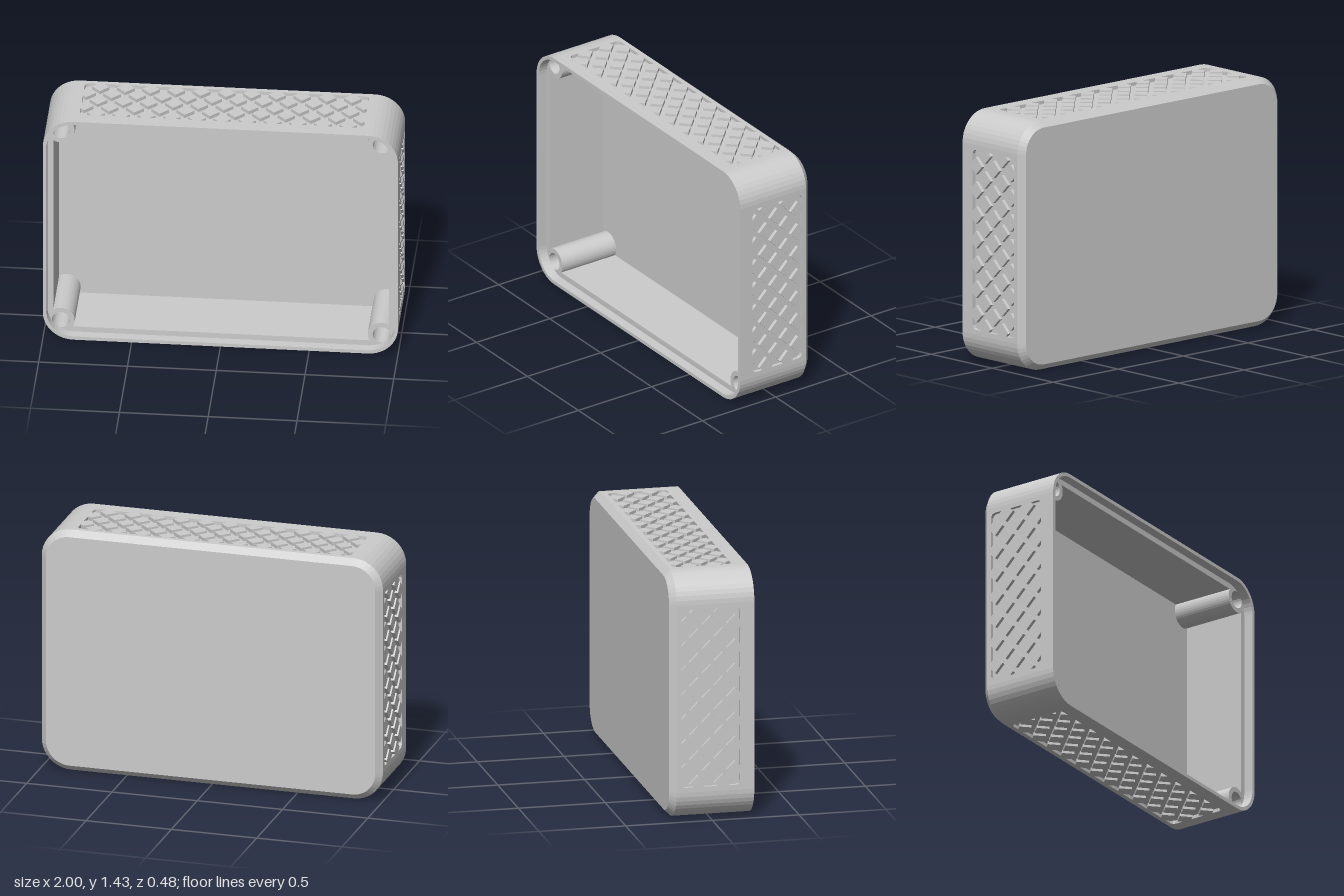
import * as THREE from 'three';

const W = 1, H = 0.715, R = 0.17;          // half width, half height, corner radius
const BACK = -0.242, FRONT = 0.242;
const CHAMFER_Z = -0.207, FLOOR_Z = -0.18, LEDGE_Z = 0.187;
const WALL = 0.054, LIP = 0.021, GROOVE = 0.02;
const BOSS = { x: 0.903, y: 0.621, r: 0.078, hole: 0.05 };
const PITCH = 0.142, DIAMOND = 0.05;       // lattice pitch and half diagonal

const material = new THREE.MeshStandardMaterial({ color: 0xcccccc });

function extrude(shape, z0, z1) {
  const g = new THREE.ExtrudeGeometry(shape, { depth: z1 - z0, bevelEnabled: false, curveSegments: 12 });
  return g.translate(0, 0, z0);
}

function addMesh(parent, name, geometry) {
  const m = new THREE.Mesh(geometry, material);
  m.name = name;
  parent.add(m);
  return m;
}

// Turns a point given for the top edge to side s (top, right, bottom, left)
const turn = (s, t, o) => new THREE.Vector2(...[[t, o], [o, -t], [-t, -o], [-o, t]][s]);

// Rounded outline; notch cuts a shallow bed for the lattice plate into each wall
function outline(inset = 0, notch = 0) {
  const pts = [], r = R - inset;
  for (let s = 0; s < 4; s++) {
    const L = s % 2 ? H : W, D = s % 2 ? W : H, n = L - R - 0.01;
    if (notch) pts.push(turn(s, -n, D), turn(s, -n, D - notch), turn(s, n, D - notch), turn(s, n, D));
    for (let i = 0; i <= 10; i++) {
      const a = (i / 10) * Math.PI / 2;
      pts.push(turn(s, L - R + r * Math.sin(a), D - R + r * Math.cos(a)));
    }
  }
  return new THREE.Shape(pts.reverse());
}

// Cavity: a rectangle whose corners are bitten off by the round screw bosses
function cavity() {
  const pts = [], x = W - WALL, y = H - WALL;
  const a0 = Math.PI - Math.asin((y - BOSS.y) / BOSS.r);
  const a1 = 2 * Math.PI - Math.acos((x - BOSS.x) / BOSS.r);
  for (const [sx, sy] of [[1, 1], [1, -1], [-1, -1], [-1, 1]]) {
    const arc = [];
    for (let i = 0; i <= 16; i++) {
      const a = a0 + (a1 - a0) * i / 16;
      arc.push(new THREE.Vector2(sx * (BOSS.x + BOSS.r * Math.cos(a)), sy * (BOSS.y + BOSS.r * Math.sin(a))));
    }
    pts.push(...(sx * sy > 0 ? arc : arc.reverse()));
  }
  return new THREE.Path(pts);
}

// Wall ring with cavity and four screw holes
function wallRing() {
  const s = outline(0, GROOVE);
  s.holes.push(cavity());
  for (const sx of [-1, 1]) for (const sy of [-1, 1])
    s.holes.push(new THREE.Path().absarc(sx * BOSS.x, sy * BOSS.y, BOSS.hole, 0, Math.PI * 2));
  return s;
}

// Plate with crossing grooves: an opening with notched rim, plus loose diamonds.
// (nx, ny) is the outermost groove crossing in lattice steps.
function latticePlate(plateW, plateH, w, h, nx, ny) {
  const plate = new THREE.Shape([[-1, -1], [1, -1], [1, 1], [-1, 1]]
    .map(([x, y]) => new THREE.Vector2(x * plateW, y * plateH)));
  const rim = [], c = 0.022;
  for (let s = 0; s < 4; s++) {
    const [L, D, na, nd] = s % 2 ? [h, w, ny, nx] : [w, h, nx, ny];
    const row = nd * PITCH, half = DIAMOND - (D - row);
    rim.push(turn(s, -L + c, D));
    // Diamonds cut off by the panel edge
    for (let a = -(na - 0.5); a <= na - 0.5; a++) {
      const t = a * PITCH;
      rim.push(turn(s, t - half, D), turn(s, t - DIAMOND, row), turn(s, t, row - DIAMOND),
        turn(s, t + DIAMOND, row), turn(s, t + half, D));
    }
    rim.push(turn(s, L - c, D), turn(s, L - 0.3 * c, D - 0.3 * c));
  }
  plate.holes.push(new THREE.Path(rim));
  const shapes = [plate];
  for (let k = 0; k <= 4 * nx - 2; k++) for (let l = 1; l < 4 * ny; l++) {
    if ((k + l) % 2) continue;
    const x = (nx - 0.5 - k / 2) * PITCH, y = (ny - l / 2) * PITCH;
    shapes.push(new THREE.Shape([[1, 0], [0, 1], [-1, 0], [0, -1]]
      .map(([u, v]) => new THREE.Vector2(x + u * DIAMOND, y + v * DIAMOND))));
  }
  return extrude(shapes, -GROOVE, 0);
}

// Back slab: its rear outline is drawn in to form the chamfer
function backSlab() {
  const g = extrude(outline(), BACK, CHAMFER_Z), p = g.attributes.position;
  const k = 1 - (CHAMFER_Z - BACK) / R;
  for (let i = 0; i < p.count; i++) {
    if (p.getZ(i) > BACK + 0.001) continue;
    const x = p.getX(i), y = p.getY(i);
    const cx = THREE.MathUtils.clamp(x, R - W, W - R), cy = THREE.MathUtils.clamp(y, R - H, H - R);
    p.setXY(i, cx + (x - cx) * k, cy + (y - cy) * k);
  }
  g.computeVertexNormals();
  return g;
}

export function createModel() {
  const model = new THREE.Group();
  model.name = 'enclosure';
  const body = new THREE.Group();
  body.name = 'body';
  body.position.y = H;
  model.add(body);

  addMesh(body, 'backPanel', backSlab());
  addMesh(body, 'floor', extrude(outline(0, GROOVE), CHAMFER_Z, FLOOR_Z));
  addMesh(body, 'walls', extrude(wallRing(), FLOOR_Z, LEDGE_Z));

  // Thin rim around the opening
  const lip = outline();
  lip.holes.push(outline(LIP));
  addMesh(body, 'rim', extrude(lip, LEDGE_Z, FRONT));

  // Lattice plates set into the four walls
  const zMid = (CHAMFER_Z + LEDGE_Z) / 2, zHalf = (LEDGE_Z - CHAMFER_Z) / 2;
  const long = latticePlate(W - R - 0.01, zHalf, 0.8, 0.169, 5.5, 1);
  const short = latticePlate(zHalf, H - R - 0.01, 0.169, 0.516, 1, 3.5);
  for (const s of [1, -1]) {
    const a = addMesh(body, s > 0 ? 'topLattice' : 'bottomLattice', long);
    a.rotation.x = -s * Math.PI / 2;
    a.position.set(0, s * H, zMid);
    const b = addMesh(body, s > 0 ? 'leftLattice' : 'rightLattice', short);
    b.rotation.y = s * Math.PI / 2;
    b.position.set(s * W, 0, zMid);
  }
  return model;
}
